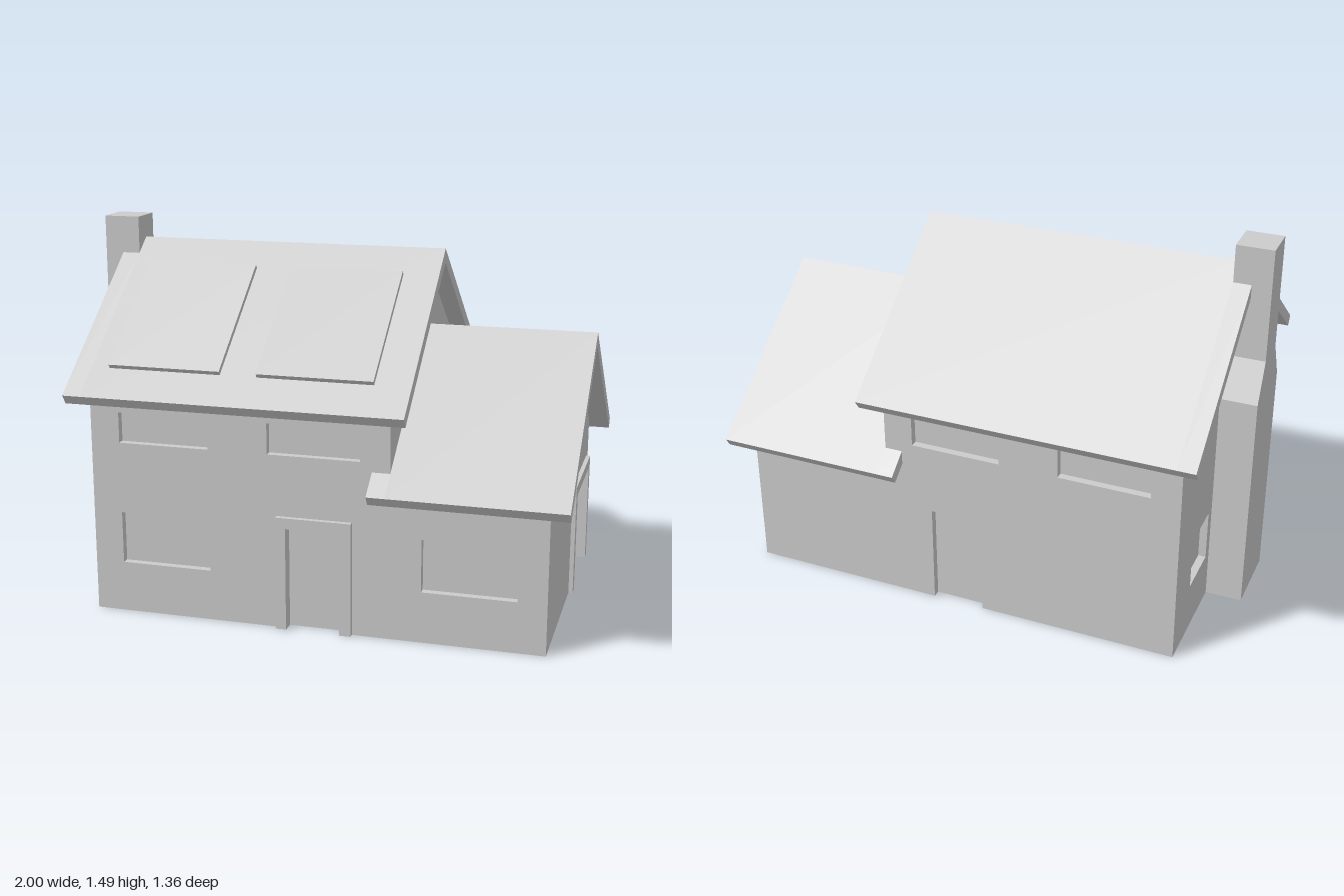
import * as THREE from 'three';

const SLOPE = 0.757;          // roof pitch, rise over run
const HALF = 0.59;            // half depth of the house
const T = 0.035;              // outer wall thickness
const MAIN_TOP = 1.395, LOW_TOP = 1.095, ROOF_T = 0.055;

export function createModel() {
  const model = new THREE.Group();
  const material = new THREE.MeshStandardMaterial({ color: 0xcccccc });

  const add = (name, geometry) => {
    const mesh = new THREE.Mesh(geometry, material);
    mesh.name = name;
    model.add(mesh);
  };

  // Extrude an (x, y) shape from z = a to z = b
  const alongZ = (shape, a, b) =>
    new THREE.ExtrudeGeometry(shape, { depth: b - a, bevelEnabled: false }).translate(0, 0, a);
  // Extrude a (-z, y) shape from x = a to x = b
  const alongX = (shape, a, b) => alongZ(shape, a, b).rotateY(Math.PI / 2);

  const polygon = (points) => new THREE.Shape(points.map(([u, v]) => new THREE.Vector2(u, v)));

  // Wall outline with openings [u0, u1, v0, v1]; those at ground level become notches
  const wallShape = (outline, openings) => {
    const doors = openings.filter((o) => o[2] === 0);
    const notches = doors.flatMap(([a, b, , h]) => [[a, 0], [a, h], [b, h], [b, 0]]);
    const shape = polygon([outline[0], ...notches, ...outline.slice(1)]);
    for (const [a, b, c, d] of openings.filter((o) => o[2] > 0)) {
      shape.holes.push(polygon([[a, c], [a, d], [b, d], [b, c]]));
    }
    return shape;
  };

  const rect = ([a, b, c, d]) => polygon([[a, c], [b, c], [b, d], [a, d]]);
  const fillName = (o) => (o[2] === 0 ? 'door' : 'windowPane');
  const gable = (half, top) => [
    [-half, 0], [half, 0], [half, top - half * SLOPE], [0, top], [-half, top - half * SLOPE],
  ];

  // Solid cores behind the outer walls
  const mainUnder = MAIN_TOP - ROOF_T, lowUnder = LOW_TOP - ROOF_T;
  const inner = HALF - T;
  add('mainCore', alongX(polygon(gable(inner, mainUnder)), -0.855 + T, 0.33));
  add('garageCore', alongX(polygon(gable(inner, lowUnder)), 0.33, 0.92 - T));

  // Front and back walls
  const mainEave = mainUnder - HALF * SLOPE, lowEave = lowUnder - HALF * SLOPE;
  const longWall = [
    [-0.855 + T, 0], [0.92 - T, 0], [0.92 - T, lowEave],
    [0.33, lowEave], [0.33, mainEave], [-0.855 + T, mainEave],
  ];
  const shared = [
    [-0.07, 0.14, 0, 0.405],
    [-0.74, -0.38, 0.685, 0.805],
    [-0.145, 0.215, 0.685, 0.805],
  ];
  const frontOpenings = [...shared, [-0.74, -0.38, 0.2, 0.405], [0.45, 0.81, 0.2, 0.405]];
  add('frontWall', alongZ(wallShape(longWall, frontOpenings), inner, HALF));
  add('backWall', alongZ(wallShape(longWall, shared), -HALF, -inner));
  for (const o of frontOpenings) add(fillName(o) + 'Front', alongZ(rect(o), inner, inner + 0.005));
  for (const o of shared) add(fillName(o) + 'Back', alongZ(rect(o), -inner - 0.005, -inner));

  // End walls: chimney side and garage side
  const sideWindow = [0.19, 0.4, 0.2, 0.405];
  const garageDoor = [0.105, 0.49, 0, 0.405];
  add('chimneyEndWall', alongX(wallShape(gable(HALF, mainUnder), [sideWindow]), -0.855, -0.855 + T));
  add('sideWindowPane', alongX(rect(sideWindow), -0.855 + T - 0.005, -0.855 + T));
  add('garageEndWall', alongX(wallShape(gable(HALF, lowUnder), [garageDoor]), 0.92 - T, 0.92));
  add('garageDoor', alongX(rect(garageDoor), 0.92 - T, 0.92 - T + 0.005));

  // Raised frames around the front door and the garage door
  const frame = (a, b, h, [c, d, , k]) =>
    polygon([[a, 0], [c, 0], [c, k], [d, k], [d, 0], [b, 0], [b, h], [a, h]]);
  add('frontDoorFrame', alongZ(frame(-0.11, 0.185, 0.447, shared[0]), HALF, 0.61));
  add('garageDoorFrame', alongX(frame(0.06, 0.53, 0.447, garageDoor), 0.92, 0.937));

  // Roof slopes, from distance zIn off the ridge down to the eave
  const roofSlope = (name, top, zIn, x0, x1) => {
    for (const s of [1, -1]) {
      const y = (z) => top - z * SLOPE;
      add(name, alongX(polygon([
        [s * zIn, y(zIn)], [s * 0.68, y(0.68)],
        [s * 0.655, y(0.655) - ROOF_T], [s * zIn, y(zIn) - ROOF_T],
      ]), x0, x1));
    }
  };
  roofSlope('mainRoof', MAIN_TOP, 0, -0.855, 0.4);
  roofSlope('mainRoofVerge', MAIN_TOP, 0.075, -0.925, -0.855);  // notched around the chimney
  roofSlope('garageRoof', LOW_TOP, 0, 0.33, 1);
  roofSlope('garageRoofEaveReturn', LOW_TOP, HALF, 0.26, 0.33); // wraps the main wall corner

  // Panels lying on the front roof slope
  const panel = polygon([[-0.56, 0.968], [-0.572, 0.985], [-0.13, 1.32], [-0.117, 1.304]]);
  for (const [a, b] of [[-0.78, -0.335], [-0.19, 0.26]]) add('roofPanel', alongX(panel, a, b));

  // Chimney with sloped shoulders
  add('chimney', alongX(polygon([
    [-0.147, 0], [0.147, 0], [0.147, 0.89], [0.073, 1.04],
    [0.073, 1.485], [-0.073, 1.485], [-0.073, 1.04], [-0.147, 0.89],
  ]), -1, -0.855));

  return model;
}
